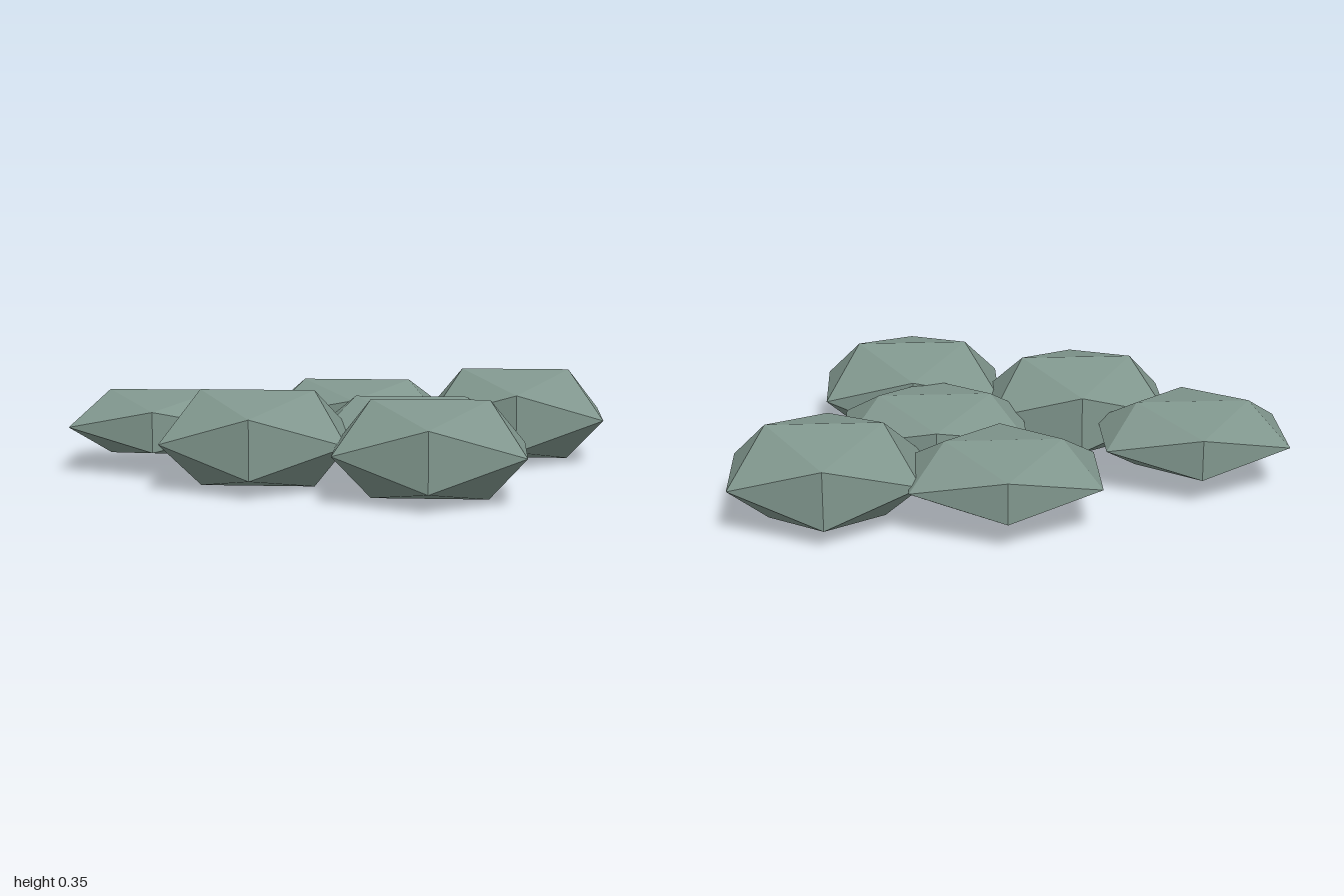
import * as THREE from 'three';

export function createModel() {
  const group = new THREE.Group();
  group.name = 'stoneCluster';
  const stone = new THREE.MeshStandardMaterial({ color: 0x80968d });
  stone.name = 'grey green stone';

  // Flattened icosahedra: [x, z, half height]
  const tall = 0.175, low = 0.122;
  const stones = [
    [-0.667, -0.115, low],
    [0.045, -0.47, low],
    [0.275, 0.01, low],
    [0.667, -0.415, tall],
    [-0.27, 0.26, tall],
    [0.355, 0.467, tall],
  ];
  const reach = 0.85065; // largest coordinate of a unit icosahedron's corners
  stones.forEach(([x, z, half], i) => {
    const geometry = new THREE.IcosahedronGeometry(1, 0);
    geometry.scale(0.333 / reach, half / reach, 0.288 / reach);
    geometry.computeVertexNormals(); // unshared corners, so facets stay flat
    const mesh = new THREE.Mesh(geometry, stone);
    mesh.name = `stone${i + 1}`;
    mesh.position.set(x, tall, z);
    group.add(mesh);
  });
  return group;
}
